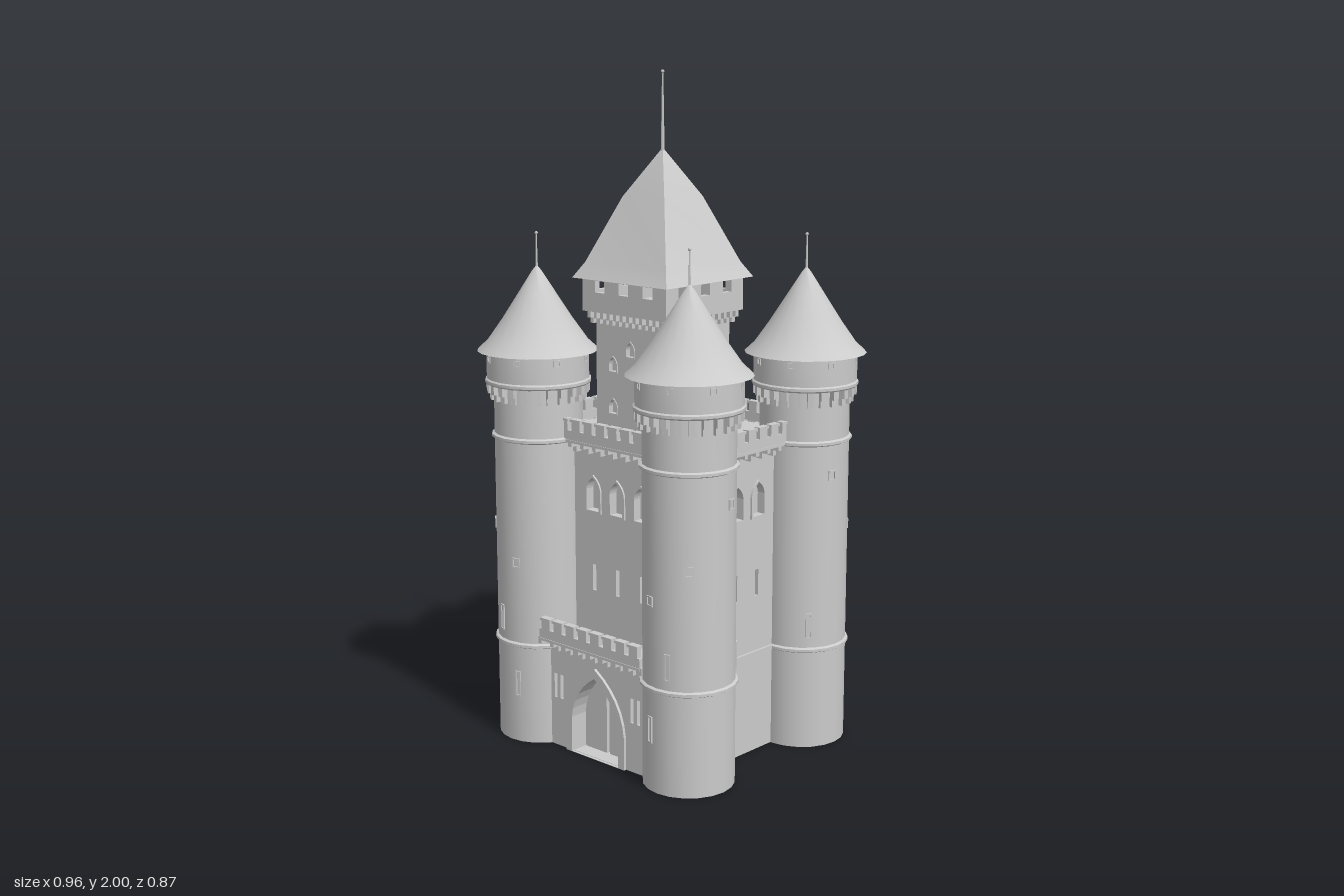
import * as THREE from 'three';
import { toCreasedNormals } from 'three/addons/utils/BufferGeometryUtils.js';

const stone = new THREE.MeshStandardMaterial({ color: 0xcccccc });

function add(parent, name, geometry, x = 0, y = 0, z = 0) {
  const mesh = new THREE.Mesh(geometry, stone);
  mesh.name = name;
  mesh.position.set(x, y, z);
  parent.add(mesh);
  return mesh;
}

function group(parent, name, x = 0, y = 0, z = 0, turn = 0) {
  const g = new THREE.Group();
  g.name = name;
  g.position.set(x, y, z);
  g.rotation.y = turn;
  parent.add(g);
  return g;
}

const box = (w, h, d) => new THREE.BoxGeometry(w, h, d);

function lathe(points, sides = 20, start = 0, crease = 0.5) {
  const profile = points.map(([r, y]) => new THREE.Vector2(r, y));
  return toCreasedNormals(new THREE.LatheGeometry(profile, sides, start), crease);
}

// Outlines: rectangle and pointed arch standing on y
function trace(path, cx, y, w, h, arched) {
  const r = w / 2;
  path.moveTo(cx - r, y);
  path.lineTo(cx + r, y);
  if (arched) {
    const spring = y + h - Math.min(h, w * 0.75);
    path.lineTo(cx + r, spring);
    path.quadraticCurveTo(cx + r * 0.9, y + h - w * 0.28, cx, y + h);
    path.quadraticCurveTo(cx - r * 0.9, y + h - w * 0.28, cx - r, spring);
  } else {
    path.lineTo(cx + r, y + h);
    path.lineTo(cx - r, y + h);
  }
  path.closePath();
  return path;
}

// Flat panel pierced by openings [cx, y, w, h, arched]
function panel(outline, holes, depth) {
  const shape = trace(new THREE.Shape(), ...outline);
  for (const h of holes) shape.holes.push(trace(new THREE.Path(), ...h));
  return new THREE.ExtrudeGeometry(shape, { depth, bevelEnabled: false, curveSegments: 6 });
}

function frame(w, h, arched, border = 0.006, depth = 0.012) {
  return panel([0, -h / 2 - border, w + border * 2, h + border * 2, arched], [[0, -h / 2, w, h, arched]], depth);
}

// Parapet on corbels with merlons, facing local +z at distance d
function battlement(parent, name, width, y, d, n) {
  const g = group(parent, name, 0, y, d);
  add(g, 'parapet', box(width, 0.032, 0.016), 0, 0.016, 0.034);
  add(g, 'parapetMoulding', box(width, 0.008, 0.02), 0, 0, 0.034);
  const step = width / n;
  for (let i = 0; i < n; i++) {
    const x = (i + 0.5) * step - width / 2;
    add(g, 'merlon', box(step * 0.66, 0.034, 0.016), x, 0.047, 0.034);
    add(g, 'merlonCap', box(step * 0.8, 0.008, 0.022), x, 0.063, 0.034);
  }
  for (let i = 0; i <= n; i++) {
    const x = i * step - width / 2;
    add(g, 'corbel', box(0.014, 0.022, 0.042), x, -0.006, 0.02);
    add(g, 'corbelFoot', box(0.014, 0.018, 0.022), x, -0.025, 0.01);
  }
}

function cornerTower(parent, sx, sz) {
  const g = group(parent, 'cornerTower', sx * 0.302, 0, sz * 0.255);
  const r = 0.133;
  add(g, 'towerShaft', lathe([[0, 0], [r, 0], [r, 1.1], [0, 1.1]]));
  for (const y of [0.305, 0.932]) {
    add(g, 'stringCourse', lathe([[r, -0.008], [0.141, -0.004], [0.141, 0.004], [r, 0.008]]), 0, y);
  }
  add(g, 'drum', lathe([[0.13, 1.088], [0.155, 1.088], [0.158, 1.092], [0.158, 1.1], [0.153, 1.104], [0.153, 1.19]]));
  add(g, 'roof', lathe([[0, 1.192], [0.15, 1.188], [0.18, 1.185], [0.15, 1.213], [0.105, 1.277],
    [0.055, 1.355], [0.015, 1.418], [0, 1.437]], 20, 0, 0.6));
  add(g, 'finial', new THREE.CylinderGeometry(0.0015, 0.004, 0.12, 6), 0, 1.475);
  add(g, 'finialBall', new THREE.SphereGeometry(0.005, 8, 6), 0, 1.53);
  // Corbel ring under the drum
  for (let i = 0; i < 24; i++) {
    const c = group(g, 'corbel', 0, 0, 0, (i / 24) * Math.PI * 2);
    add(c, 'corbelHead', box(0.017, 0.028, 0.028), 0, 1.076, 0.139);
    add(c, 'corbelFoot', box(0.017, 0.022, 0.016), 0, 1.052, 0.136);
  }
  for (let i = 0; i < 8; i++) {
    const w = group(g, 'drumWindow', 0, 1.165, 0, ((i + 0.5) / 8) * Math.PI * 2);
    add(w, 'windowFrame', frame(0.013, 0.013, false, 0.003, 0.008), 0, 0, 0.147);
  }
  // Shaft openings: angle from the front in degrees, height, width, tall
  const openings = [[42, 0.66, 0.016, 0.022], [-13, 0.56, 0.018, 0.022], [103, 0.835, 0.018, 0.022],
    [15, 0.38, 0.01, 0.07], [132, 0.38, 0.01, 0.07], [-13, 0.183, 0.01, 0.07]];
  for (const [deg, y, w, h] of openings) {
    const a = THREE.MathUtils.degToRad(deg);
    const o = group(g, 'towerWindow', 0, y, 0, Math.atan2(sx * Math.sin(a), sz * Math.cos(a)));
    add(o, 'windowFrame', frame(w, h, false, 0.004, 0.012), 0, 0, r - 0.009);
  }
}

// Curtain wall between towers: pierced skin, window surrounds, battlement
function curtainWall(parent, name, turn, d, width, n, centres) {
  const g = group(parent, name, 0, 0, 0, turn);
  const holes = [];
  for (const x of centres) {
    holes.push([x, 0.725, 0.05, 0.1, true], [x, 0.48, 0.014, 0.08, false]);
    add(g, 'windowSurround', frame(0.05, 0.1, true, 0.007, 0.01), x, 0.775, d - 0.004);
  }
  add(g, 'wallSkin', panel([0, 0, width, 0.94, false], holes, 0.025), 0, 0, d - 0.025);
  add(g, 'stringCourse', box(width, 0.014, 0.016), 0, 0.305, d);
  battlement(g, 'battlement', width, 0.932, d, n);
}

function gatehouse(parent) {
  const g = group(parent, 'gatehouse');
  add(g, 'gateBlock', box(0.41, 0.345, 0.07), 0, 0.1725, 0.23);
  const slits = [-0.17, -0.145, 0.145, 0.17].map((x) => [x, 0.15, 0.012, 0.075, false]);
  add(g, 'gateFront', panel([0, 0, 0.41, 0.345, false], [[0, 0.002, 0.19, 0.25, true], ...slits], 0.062), 0, 0, 0.263);
  add(g, 'gateSurround', panel([0, 0, 0.24, 0.28, true], [[0, 0.001, 0.19, 0.25, true]], 0.012), 0, 0, 0.322);
  for (const s of [-1, 1]) add(g, 'doorLeaf', box(0.088, 0.25, 0.012), s * 0.05, 0.126, 0.27);
  battlement(g, 'gateBattlement', 0.41, 0.335, 0.315, 8);
}

function keep(parent) {
  const g = group(parent, 'keep', -0.003, 0, 0.033);
  add(g, 'keepCore', box(0.25, 0.4, 0.25), 0, 1.12, 0);
  const windows = [[0, 1.185], [-0.07, 1.135], [0.065, 1.07], [-0.07, 1.01]];
  for (let side = 0; side < 4; side++) {
    const f = group(g, 'keepSide', 0, 0, 0, (side * Math.PI) / 2);
    const mine = side % 2 ? [[0.055, 1.185]] : windows;
    const holes = mine.map(([x, y]) => [x, y, 0.03, 0.042, true]);
    add(f, 'keepWall', panel([0, 0.93, 0.276, 0.38, false], holes, 0.016), 0, 0, 0.122);
    for (const [x, y] of mine) add(f, 'windowSurround', frame(0.03, 0.042, true, 0.004, 0.006), x, y + 0.021, 0.135);
    // Open gallery below the roof
    const lights = [-0.095, 0, 0.095].map((x) => [x, 1.366, 0.038, 0.034, false]);
    add(f, 'galleryWall', panel([0, 1.31, 0.332, 0.1, false], lights, 0.018), 0, 0, 0.148);
    for (let i = 0; i < 12; i++) {
      const x = (i - 5.5) * 0.026;
      add(f, 'corbel', box(0.012, 0.022, 0.026), x, 1.3, 0.15);
      add(f, 'corbelFoot', box(0.012, 0.018, 0.014), x, 1.281, 0.143);
    }
  }
  add(g, 'galleryFloor', box(0.332, 0.012, 0.332), 0, 1.314, 0);
  const k = Math.SQRT2;
  add(g, 'keepRoof', lathe([[0, 1.405], [0.187 * k, 1.405], [0.16 * k, 1.45], [0.082 * k, 1.64], [0, 1.78]], 4, Math.PI / 4, 0.3));
  add(g, 'finial', new THREE.CylinderGeometry(0.002, 0.006, 0.25, 6), 0, 1.873);
  add(g, 'finialBall', new THREE.SphereGeometry(0.005, 8, 6), 0, 1.995);
}

export function createModel() {
  const model = new THREE.Group();
  model.name = 'castle';
  add(model, 'mainBlock', box(0.55, 0.94, 0.45), 0, 0.47, -0.0125);
  curtainWall(model, 'frontWall', 0, 0.235, 0.4, 8, [-0.093, 0.003, 0.1]);
  curtainWall(model, 'backWall', Math.PI, 0.26, 0.4, 8, [-0.097, 0, 0.097]);
  curtainWall(model, 'leftWall', Math.PI / 2, 0.295, 0.3, 6, [-0.045, 0.05]);
  curtainWall(model, 'rightWall', -Math.PI / 2, 0.295, 0.3, 6, [-0.05, 0.045]);
  for (const sx of [-1, 1]) for (const sz of [-1, 1]) cornerTower(model, sx, sz);
  gatehouse(model);
  keep(model);
  return model;
}
